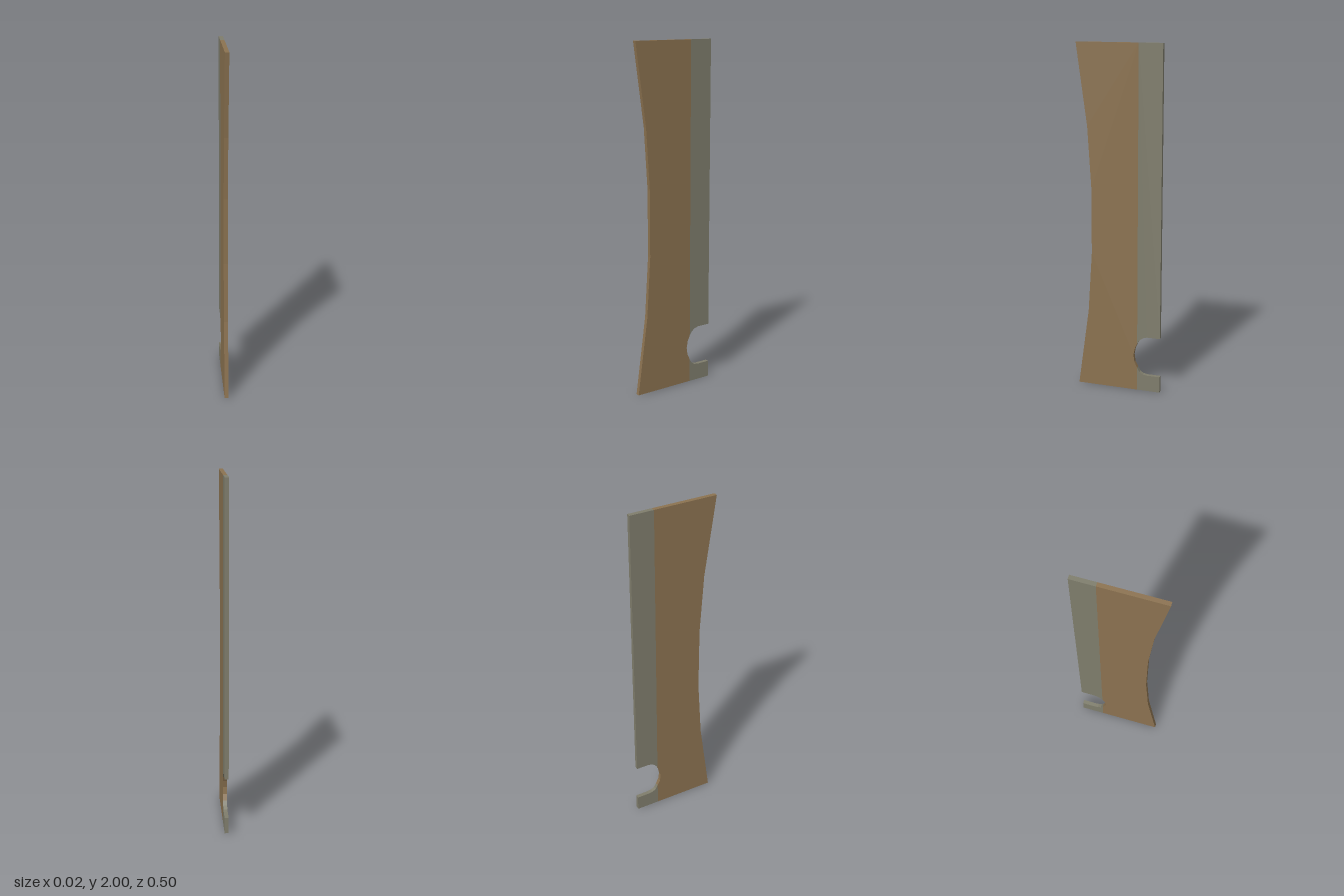
import * as THREE from 'three';

const THICKNESS = 0.023;
const BACK = -0.248, SEAM = -0.112;

// Extrudes a [z, y] outline into an upright panel centred on x = 0
function panel(name, outline, material) {
  const shape = new THREE.Shape(outline.map(([z, y]) => new THREE.Vector2(z, y)));
  const geometry = new THREE.ExtrudeGeometry(shape, { depth: THICKNESS, bevelEnabled: false });
  geometry.translate(0, 0, -THICKNESS / 2).rotateY(-Math.PI / 2);
  const mesh = new THREE.Mesh(geometry, material);
  mesh.name = name;
  return mesh;
}

export function createModel() {
  const wood = new THREE.MeshStandardMaterial({ name: 'brown wood', color: 0x8b7250 });
  const grey = new THREE.MeshStandardMaterial({ name: 'grey edging', color: 0x7f7d6c });
  const group = new THREE.Group();
  group.name = 'curvedPanel';

  // Front edge curves inwards, the same above and below mid-height
  const lowerFront = [[0.248, 0], [0.185, 0.46], [0.163, 0.81]];
  const upperFront = lowerFront.map(([z, y]) => [z, 2 - y]).reverse();

  // Rounded notch: the deepest part cuts into the board, the rest into the strip
  const notchTop = [SEAM, 0.287], notchBottom = [SEAM, 0.138];
  group.add(panel('board', [
    [SEAM, 0], ...lowerFront, ...upperFront, [SEAM, 2],
    notchTop, [-0.098, 0.256], [-0.09, 0.215], [-0.096, 0.172], notchBottom,
  ], wood));

  // Back strip above and below the notch mouth
  group.add(panel('upperBackStrip', [
    [BACK, 0.332], [-0.172, 0.332], [-0.147, 0.325], [-0.128, 0.311], notchTop,
    [SEAM, 2], [BACK, 2],
  ], grey));
  group.add(panel('lowerBackStrip', [
    [BACK, 0], [SEAM, 0], notchBottom,
    [-0.126, 0.113], [-0.147, 0.1], [-0.172, 0.096], [BACK, 0.096],
  ], grey));

  return group;
}
